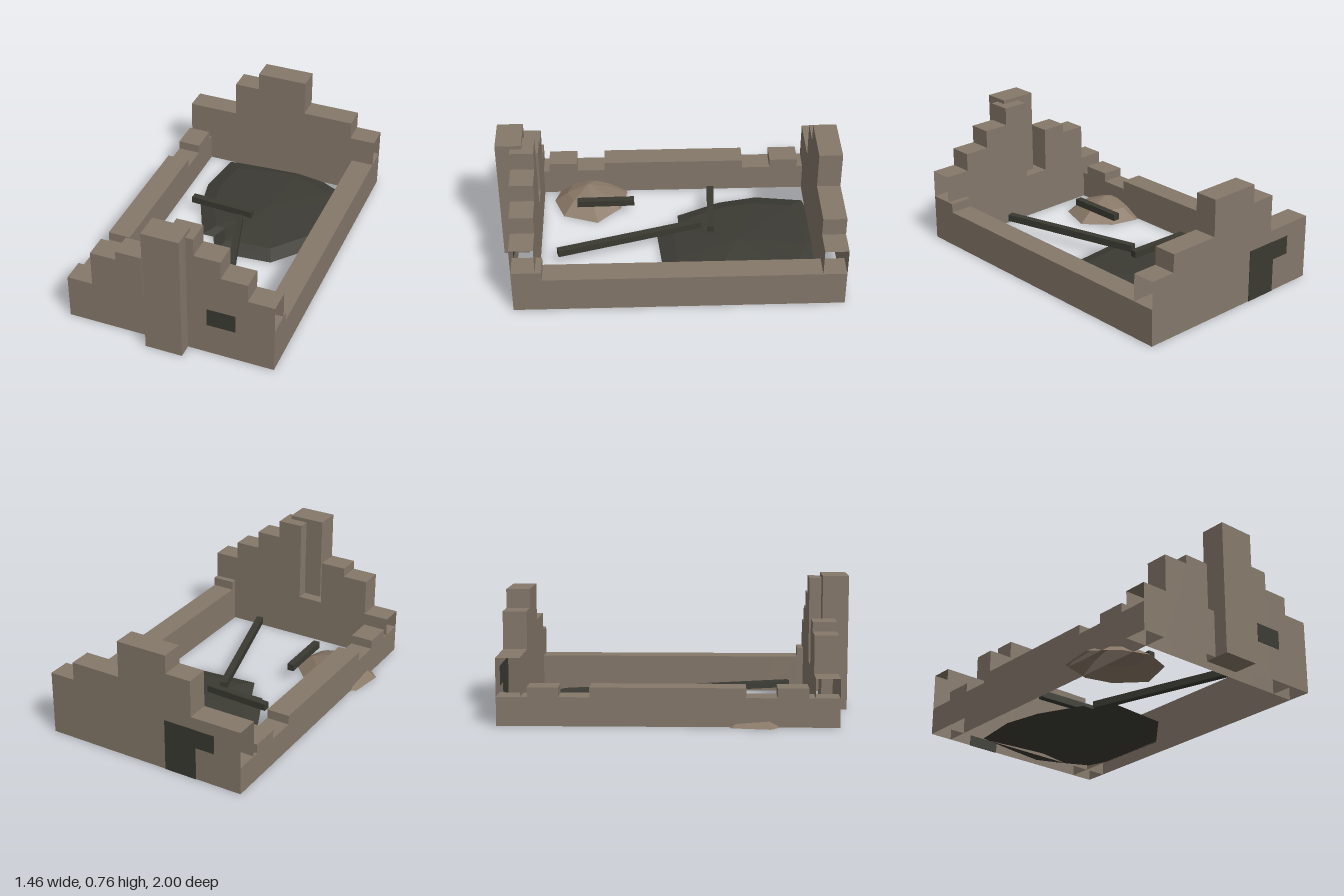
import * as THREE from 'three';

const WIDTH = 1.195, LENGTH = 1.836, THICK = 0.132, STEP = 0.0527, TURN = -0.15;

function makeMaterial(name, color) {
  const material = new THREE.MeshStandardMaterial({ color, flatShading: true, side: THREE.DoubleSide });
  material.name = name;
  return material;
}
const stone = makeMaterial('stone', 0x85786a);
const rubbleStone = makeMaterial('rubble stone', 0x887766);
const charred = makeMaterial('charred wood', 0x3a3a32);
const ash = makeMaterial('ash', 0x3c3b34);

function addMesh(parent, name, geometry, material, x = 0, y = 0, z = 0, turn = 0) {
  const mesh = new THREE.Mesh(geometry, material);
  mesh.name = name;
  mesh.position.set(x, y, z);
  mesh.rotation.y = turn;
  parent.add(mesh);
  return mesh;
}

function geometryFrom(positions) {
  const geometry = new THREE.BufferGeometry();
  geometry.setAttribute('position', new THREE.Float32BufferAttribute(positions, 3));
  geometry.computeVertexNormals();
  return geometry;
}

// Broken wall: a hollow stepped shell, open below and at both ends,
// with one height (in courses) per equal segment
function wallGeometry(length, courses) {
  const positions = [];
  const quad = (a, b, c, d) => positions.push(...a, ...b, ...c, ...a, ...c, ...d);
  const seg = length / courses.length, t = THICK / 2;
  courses.forEach((course, i) => {
    const x0 = -length / 2 + i * seg, x1 = x0 + seg, h = course * STEP;
    quad([x0, 0, t], [x1, 0, t], [x1, h, t], [x0, h, t]);
    quad([x1, 0, -t], [x0, 0, -t], [x0, h, -t], [x1, h, -t]);
    quad([x0, h, t], [x1, h, t], [x1, h, -t], [x0, h, -t]);
    // Riser to the next segment
    if (i < courses.length - 1 && courses[i + 1] !== course) {
      const n = courses[i + 1] * STEP;
      quad([x1, n, t], [x1, n, -t], [x1, h, -t], [x1, h, t]);
    }
  });
  return geometryFrom(positions);
}

// Low faceted heap: an outline scaled about its centre through [scale, y] rings
function heapGeometry(outline, cx, cz, rings) {
  const positions = [];
  const point = ([scale, y], i) => {
    const [x, z] = outline[i % outline.length];
    return [cx + (x - cx) * scale, y, cz + (z - cz) * scale];
  };
  for (let r = 0; r < rings.length - 1; r++) {
    for (let i = 0; i < outline.length; i++) {
      const a = point(rings[r], i), b = point(rings[r], i + 1);
      const d = point(rings[r + 1], i), c = point(rings[r + 1], i + 1);
      positions.push(...b, ...a, ...d);
      if (rings[r + 1][0] > 0) positions.push(...b, ...d, ...c);
    }
  }
  return geometryFrom(positions);
}

export function createModel() {
  const model = new THREE.Group();
  model.name = 'ruinedHouse';

  // Walls, turned slightly on the plot
  const house = new THREE.Group();
  house.name = 'house';
  house.rotation.y = TURN;
  house.position.z = -0.003;
  model.add(house);

  const wallZ = (LENGTH - THICK) / 2, wallX = (WIDTH - THICK) / 2;
  addMesh(house, 'frontWall', wallGeometry(WIDTH, [5, 9, 10, 5, 14, 12, 10, 8]), stone, 0, 0, wallZ);
  addMesh(house, 'backWall', wallGeometry(WIDTH, [7, 7, 11, 13, 13, 9, 9, 7]), stone, 0, 0, -wallZ);
  addMesh(house, 'leftWall', wallGeometry(LENGTH, [4, 4, 4, 4, 4, 4, 4, 4, 4, 4, 5]), stone, wallX, 0, 0, -Math.PI / 2);
  addMesh(house, 'rightWall', wallGeometry(LENGTH, [3, 4, 3, 4, 4, 4, 4, 4, 3, 4, 3]), stone, -wallX, 0, 0, -Math.PI / 2);

  // Chimney standing through the front wall
  addMesh(house, 'chimney', new THREE.BoxGeometry(0.212, 0.76, 0.145), stone, 0, 0.38, 0.926);

  // Dark openings as thin plates
  const plate = (name, w, h, x, y, z) =>
    addMesh(house, name, new THREE.BoxGeometry(w, h, 0.005), charred, x, y, z);
  plate('frontWindow', 0.161, 0.107, 0.299, 0.245, LENGTH / 2);
  plate('backWindow', 0.161, 0.107, -0.358, 0.245, -LENGTH / 2);
  plate('backDoor', 0.19, 0.3, -0.231, 0.15, -LENGTH / 2 - 0.0005);

  // Fallen roof beams, each given by its two ends on plan
  const beams = [
    [-0.31, -0.27, 0.07, -0.195],
    [0.005, -0.145, 0.117, 0.705],
    [-0.275, 0.2, -0.32, 0.535],
  ];
  for (const [x1, z1, x2, z2] of beams) {
    const length = Math.hypot(x2 - x1, z2 - z1);
    addMesh(model, 'fallenBeam', new THREE.BoxGeometry(length, 0.04, 0.04), charred,
      (x1 + x2) / 2, 0.092, (z1 + z2) / 2, -Math.atan2(z2 - z1, x2 - x1));
  }

  // Ash heap at the back of the floor, a hollow mound
  const ashOutline = [
    [-0.21, -0.82], [0.02, -0.83], [0.25, -0.83], [0.37, -0.76], [0.53, -0.65], [0.55, -0.52],
    [0.49, -0.09], [0.25, 0.12], [-0.09, 0.1], [-0.13, -0.04], [-0.2, -0.05], [-0.28, -0.32], [-0.29, -0.55],
  ];
  addMesh(model, 'ashHeap', heapGeometry(ashOutline, 0.15, -0.34,
    [[1, 0], [0.8, 0.03], [0, 0.06]]), ash);

  // Rubble heap spilling under the right wall, a hollow mound
  const rubbleOutline = [
    [-0.73, 0.44], [-0.67, 0.24], [-0.48, 0.21], [-0.33, 0.275], [-0.28, 0.35],
    [-0.22, 0.43], [-0.32, 0.62], [-0.48, 0.655], [-0.62, 0.58],
  ];
  addMesh(model, 'rubbleHeap', heapGeometry(rubbleOutline, -0.48, 0.45,
    [[1, 0], [0.6, 0.055], [0, 0.1]]), rubbleStone);

  return model;
}
